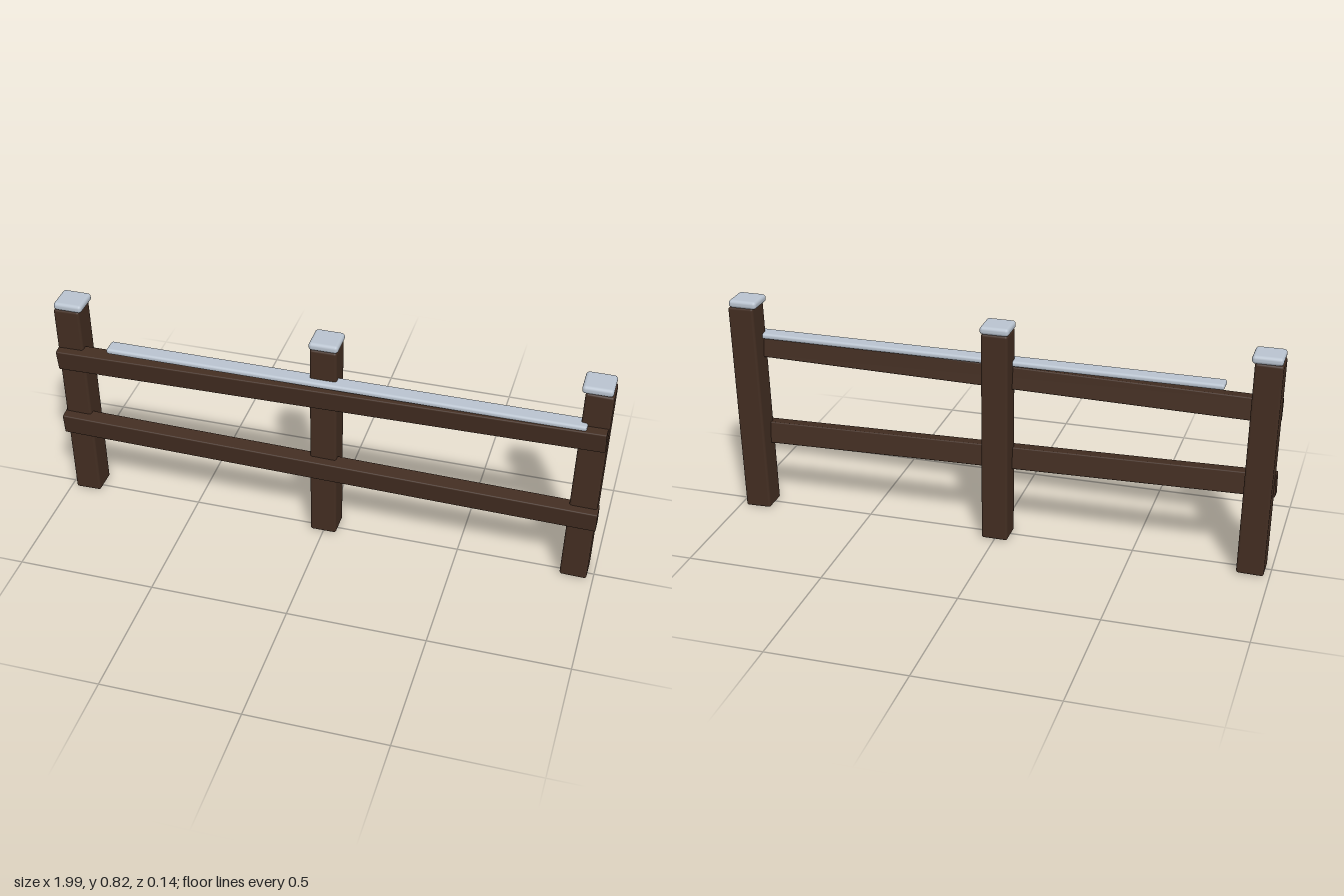
import * as THREE from 'three';
import { RoundedBoxGeometry } from 'three/addons/geometries/RoundedBoxGeometry.js';

export function createModel() {
  const fence = new THREE.Group();
  fence.name = 'snowyFence';

  const wood = new THREE.MeshStandardMaterial({ color: 0x422d21 });
  wood.name = 'dark wood';
  const snow = new THREE.MeshStandardMaterial({ color: 0xb9c3cf });
  snow.name = 'snow';

  // Rounded block placed by its centre
  function block(name, material, size, radius, position, rotation = [0, 0, 0]) {
    const mesh = new THREE.Mesh(new RoundedBoxGeometry(...size, 3, radius), material);
    mesh.name = name;
    mesh.position.set(...position);
    mesh.rotation.set(...rotation);
    fence.add(mesh);
    return mesh;
  }

  // Posts, the outer two leaning slightly outwards, each with a level snow cap
  const posts = [
    { side: 'right', x: -0.939, capX: -0.941, lean: 0.021 },
    { side: 'middle', x: 0, capX: 0, lean: 0 },
    { side: 'left', x: 0.939, capX: 0.941, lean: -0.027 },
  ];
  for (const { side, x, capX, lean } of posts) {
    block(`${side}Post`, wood, [0.097, 0.795, 0.098], 0.009, [x, 0.3985, -0.013], [0, 0, lean]);
    block(`${side}PostSnowCap`, snow, [0.106, 0.029, 0.104], 0.012, [capX, 0.809, -0.014]);
  }

  // Rails, sloping along their length and tipped forward at the top
  const tip = 0.145;
  block('upperRail', wood, [1.982, 0.082, 0.057], 0.005, [0, 0.612, 0.033], [tip, 0, 0.0157]);
  block('lowerRail', wood, [1.982, 0.082, 0.057], 0.005, [0, 0.299, 0.033], [tip, 0, -0.0187]);

  // Snow lying along the upper rail
  block('railSnow', snow, [1.716, 0.021, 0.06], 0.009, [0.063, 0.669, 0.032]);

  return fence;
}
